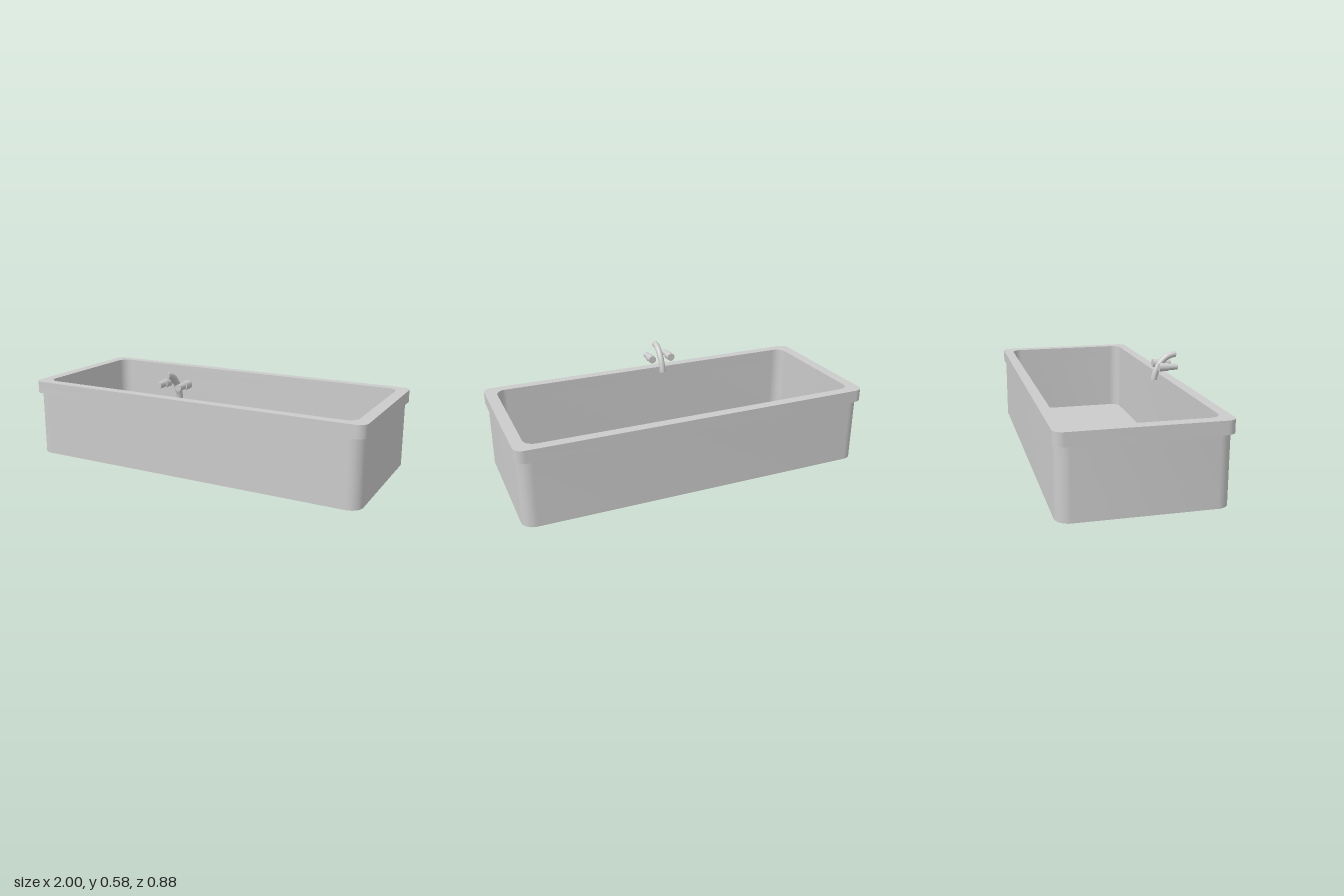
import * as THREE from 'three';
import { toCreasedNormals } from 'three/addons/utils/BufferGeometryUtils.js';

const material = new THREE.MeshStandardMaterial({ color: 0xcccccc });

function add(parent, name, geometry) {
  const mesh = new THREE.Mesh(geometry, material);
  mesh.name = name;
  parent.add(mesh);
  return mesh;
}

// Traces a rounded rectangle, centred on the origin, into a Shape or Path.
function roundedRect(path, halfX, halfZ, r) {
  path.moveTo(halfX, -halfZ + r);
  path.absarc(halfX - r, halfZ - r, r, 0, Math.PI / 2);
  path.absarc(-halfX + r, halfZ - r, r, Math.PI / 2, Math.PI);
  path.absarc(-halfX + r, -halfZ + r, r, Math.PI, Math.PI * 1.5);
  path.absarc(halfX - r, -halfZ + r, r, Math.PI * 1.5, Math.PI * 2);
  path.closePath();
  return path;
}

// Upright slab between two heights, with the basin opening cut out if asked.
function slab(halfX, halfZ, r, y0, y1, open) {
  const shape = roundedRect(new THREE.Shape(), halfX, halfZ, r);
  if (open) shape.holes.push(roundedRect(new THREE.Path(), 0.937, 0.375, 0.06));
  const geometry = new THREE.ExtrudeGeometry(shape, { depth: y1 - y0, bevelEnabled: false, curveSegments: 10 });
  geometry.rotateX(-Math.PI / 2).translate(0, y0, 0);
  return toCreasedNormals(geometry, 0.6);
}

export function createModel() {
  const model = new THREE.Group();
  model.name = 'bathtub';

  // Tub: floor, walls and overhanging rim
  const tub = new THREE.Group();
  tub.name = 'tub';
  tub.position.z = -0.007;
  add(tub, 'floor', slab(0.987, 0.421, 0.07, 0, 0.01, false));
  add(tub, 'walls', slab(0.987, 0.421, 0.07, 0.01, 0.366, true));
  add(tub, 'rim', slab(1, 0.431, 0.05, 0.366, 0.435, true));
  model.add(tub);

  // Tap: curved spout between two stepped handles
  const tap = new THREE.Group();
  tap.name = 'tap';
  tap.position.x = -0.068;
  const bend = new THREE.CubicBezierCurve3(
    new THREE.Vector3(0, 0.42, 0.313),
    new THREE.Vector3(0, 0.5, 0.325),
    new THREE.Vector3(0, 0.564, 0.375),
    new THREE.Vector3(0, 0.564, 0.44)
  );
  add(tap, 'spout', new THREE.TubeGeometry(bend, 20, 0.018, 20));
  for (const t of [0, 1]) {
    const cap = add(tap, 'spoutEnd', new THREE.CircleGeometry(0.018, 20));
    cap.position.copy(bend.getPointAt(t));
    cap.lookAt(cap.position.clone().addScaledVector(bend.getTangentAt(t), t ? 1 : -1));
  }

  for (const side of [-1, 1]) {
    const handle = new THREE.Group();
    handle.name = side < 0 ? 'rightHandle' : 'leftHandle';
    handle.position.set(side * 0.061, 0.503, 0);
    for (const [name, r, z0, z1] of [['base', 0.023, 0.323, 0.376], ['grip', 0.018, 0.376, 0.43]]) {
      const geometry = new THREE.CylinderGeometry(r, r, z1 - z0, 24);
      add(handle, name, geometry.rotateX(Math.PI / 2).translate(0, 0, (z0 + z1) / 2));
    }
    tap.add(handle);
  }
  model.add(tap);

  return model;
}
